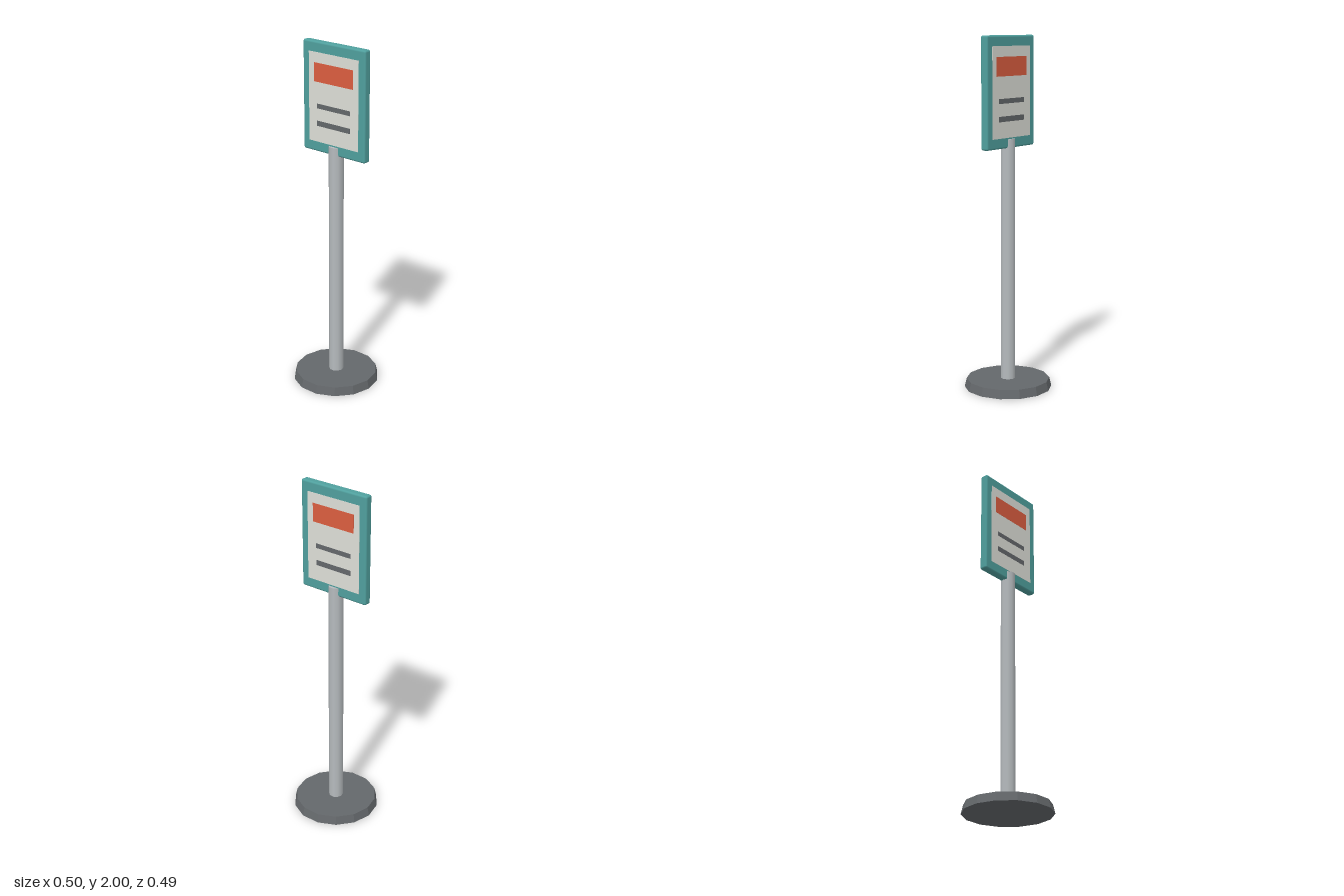
import * as THREE from 'three';
import { RoundedBoxGeometry } from 'three/addons/geometries/RoundedBoxGeometry.js';

const material = (name, color, flatShading = false) => {
  const m = new THREE.MeshStandardMaterial({ color });
  m.name = name;
  m.flatShading = flatShading;
  return m;
};

export function createModel() {
  const group = new THREE.Group();
  group.name = 'signPost';

  const dark = material('dark grey', 0x64686b, true);
  const metal = material('pole grey', 0xb6bbbe);
  const teal = material('teal', 0x50a09e);
  const paper = material('off white', 0xdedfd8);
  const red = material('orange red', 0xdc5e40);

  const add = (name, geometry, mat, x, y, z) => {
    const mesh = new THREE.Mesh(geometry, mat);
    mesh.name = name;
    mesh.position.set(x, y, z);
    group.add(mesh);
    return mesh;
  };

  // Tapered foot with corners on the x axis
  add('base', new THREE.CylinderGeometry(0.238, 0.25, 0.05, 14).rotateY(Math.PI / 2), dark, 0, 0.025, 0);

  // Ten-sided post that overlaps the bottom of the board
  add('pole', new THREE.CylinderGeometry(0.042, 0.042, 1.39, 10).rotateY(Math.PI / 2), metal, 0, 0.735, 0);

  // Board with softened edges
  const half = 0.0235;
  add('board', new RoundedBoxGeometry(0.438, 0.62, half * 2, 2, 0.011), teal, 0, 1.69, 0);

  // Printed notice, the same on both faces: name, material, width, bottom, top, layer
  const prints = [
    ['noticePanel', paper, 0.35, 1.438, 1.942, 1],
    ['headerBlock', red, 0.276, 1.778, 1.884, 2],
    ['upperLine', dark, 0.234, 1.629, 1.656, 2],
    ['lowerLine', dark, 0.234, 1.529, 1.559, 2],
  ];
  for (const side of [1, -1]) {
    for (const [name, mat, width, bottom, top, layer] of prints) {
      const plate = new THREE.BoxGeometry(width, top - bottom, 0.002);
      add(name + (side > 0 ? 'Front' : 'Back'), plate, mat, 0, (bottom + top) / 2, side * (half + (layer - 1) * 0.001));
    }
  }

  return group;
}
